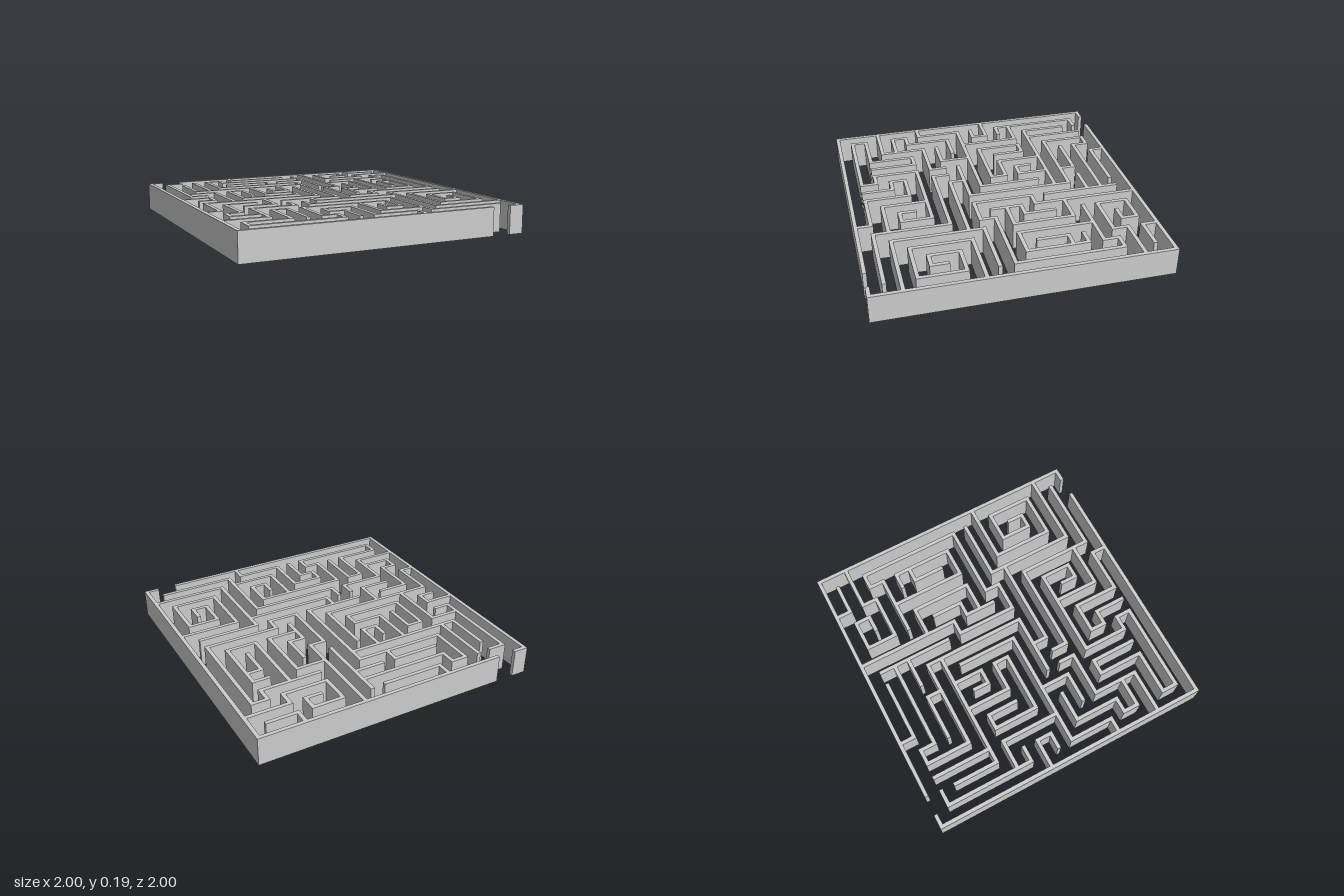
import * as THREE from 'three';

const CELLS = 19;            // cells per side
const T = 0.027;             // wall thickness
const H = 0.195;             // wall height
const PITCH = (2 - T) / CELLS;
const at = (i) => -1 + T / 2 + i * PITCH;

// Inner walls along x: for each grid line from back to front, [from, to] columns
const ROWS = [
  [],
  [[1, 2], [4, 5], [6, 10], [13, 15], [16, 18]],
  [[5, 11], [14, 15], [16, 19]],
  [[5, 8], [9, 11], [13, 16], [17, 18]],
  [[4, 10], [13, 17]],
  [[2, 10], [12, 14], [16, 17]],
  [[1, 3], [4, 5], [16, 17]],
  [[1, 2], [7, 8], [11, 12]],
  [[0, 2], [6, 8], [12, 13]],
  [[1, 2], [4, 8], [12, 14], [15, 17]],
  [[1, 9], [13, 18]],
  [[2, 4], [6, 10], [11, 13], [14, 18]],
  [[3, 5], [8, 14], [15, 19]],
  [[0, 1], [3, 6], [7, 13], [16, 18]],
  [[1, 2], [4, 5], [6, 12]],
  [[1, 3], [7, 9], [16, 17]],
  [[0, 3], [7, 8], [11, 12], [15, 18]],
  [[1, 4], [6, 7], [10, 13], [14, 19]],
  [[1, 7], [9, 12], [13, 18]],
];

// Inner walls along z: for each grid line from -x to +x, [from, to] rows
const COLUMNS = [
  [],
  [[1, 7], [10, 13], [14, 15], [17, 18]],
  [[2, 5], [8, 9], [11, 14]],
  [[1, 5], [6, 10], [13, 16]],
  [[1, 4], [6, 9], [14, 17]],
  [[1, 2], [6, 8], [10, 12], [14, 17]],
  [[0, 1], [5, 8], [12, 13], [14, 17]],
  [[6, 7], [12, 13], [15, 16], [17, 18]],
  [[3, 4], [5, 7], [8, 9], [11, 12], [16, 18]],
  [[6, 10], [15, 18]],
  [[4, 11], [14, 17]],
  [[1, 6], [7, 11], [15, 16]],
  [[0, 7], [8, 10], [14, 16], [18, 19]],
  [[1, 3], [6, 8], [10, 11], [13, 18]],
  [[5, 9], [11, 17]],
  [[1, 2], [4, 9], [12, 16]],
  [[0, 1], [2, 3], [6, 8], [13, 15]],
  [[3, 4], [5, 9], [14, 15]],
  [[3, 10], [13, 16]],
];

export function createModel() {
  const group = new THREE.Group();
  group.name = 'maze';
  const material = new THREE.MeshStandardMaterial({ color: 0xcccccc, flatShading: true });

  // One straight wall filling a rectangle on the ground
  const addWall = (name, x0, x1, z0, z1) => {
    const wall = new THREE.Mesh(new THREE.BoxGeometry(x1 - x0, H, z1 - z0), material);
    wall.position.set((x0 + x1) / 2, H / 2, (z0 + z1) / 2);
    wall.name = name;
    group.add(wall);
  };
  const h = T / 2;

  // Outer walls, with an entrance at the back and an exit at the front
  addWall('rightOuterWall', -1, -1 + T, -1, 1);
  addWall('leftOuterWall', 1 - T, 1, -1, 1);
  addWall('backOuterWallShort', -1, at(1) - h, -1, -1 + T);
  addWall('backOuterWallLong', at(2) + h, 1, -1, -1 + T);
  addWall('frontOuterWallLong', -1, at(17) - h, 1 - T, 1);
  addWall('frontOuterWallShort', at(18) + h, 1, 1 - T, 1);

  // Inner walls
  ROWS.forEach((runs, j) => runs.forEach(([a, b]) =>
    addWall('crossWall', at(a) - h, at(b) + h, at(j) - h, at(j) + h)));
  COLUMNS.forEach((runs, i) => runs.forEach(([a, b]) =>
    addWall('lengthWall', at(i) - h, at(i) + h, at(a) - h, at(b) + h)));

  return group;
}
